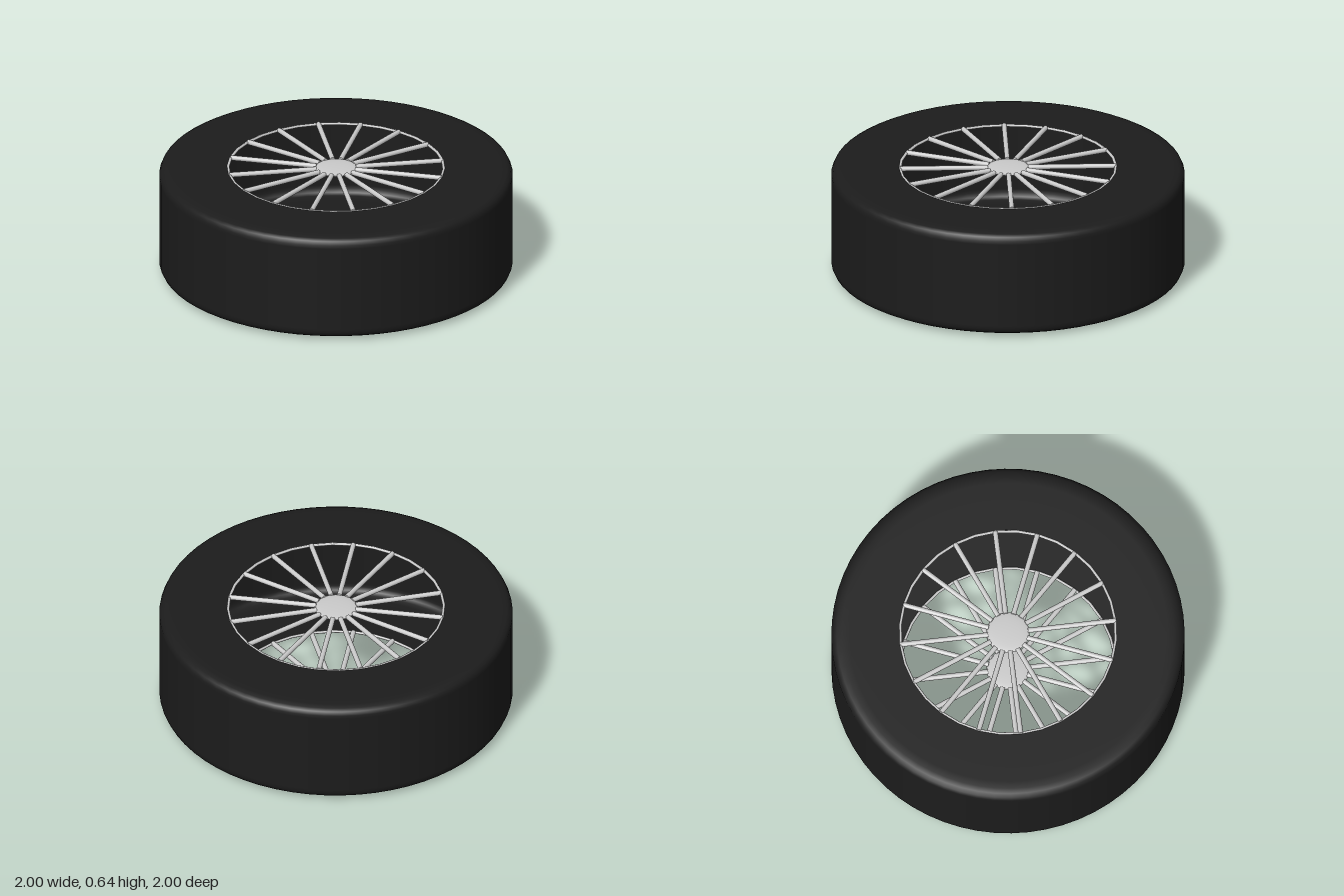
import * as THREE from 'three';

const HEIGHT = 0.64;
const SPOKES = 16;
const SPOKE_RADIUS = 0.0145;

export function createModel() {
  const wheel = new THREE.Group();
  wheel.name = 'wheel';
  const rubber = new THREE.MeshStandardMaterial({ color: 0x1c1c1c, side: THREE.DoubleSide });
  const metal = new THREE.MeshStandardMaterial({ color: 0xcccccc });

  const add = (parent, name, geometry, material) => {
    const mesh = new THREE.Mesh(geometry, material);
    mesh.name = name;
    parent.add(mesh);
    return mesh;
  };

  // Hollow tyre shell, open towards the hub: half a profile, mirrored about mid-height
  const half = [[0.615, 0.31], [0.75, 0.31], [0.9, 0.31], [0.94, 0.308], [0.97, 0.303], [0.99, 0.292], [1, 0.27], [1, 0.25]];
  const profile = [...half.map(([r, y]) => [r, -y]), ...half.slice().reverse()]
    .map(([r, y]) => new THREE.Vector2(r, y));
  add(wheel, 'tyre', new THREE.LatheGeometry(profile, 64), rubber).position.y = HEIGHT / 2;

  // One spoked face on each side of the tyre
  const inner = 0.113, outer = 0.612;
  const spokeGeometry = new THREE.CylinderGeometry(SPOKE_RADIUS, SPOKE_RADIUS, outer - inner, 12);
  spokeGeometry.rotateZ(Math.PI / 2).translate((inner + outer) / 2, 0, 0);
  const ringGeometry = new THREE.TorusGeometry(0.611, 0.008, 8, 32).rotateX(Math.PI / 2);
  const hubGeometry = new THREE.SphereGeometry(0.122, 32, 12).scale(1, 0.09, 1);

  for (const [side, y] of [['upper', HEIGHT - SPOKE_RADIUS], ['lower', SPOKE_RADIUS]]) {
    const face = new THREE.Group();
    face.name = side + 'Spokes';
    face.position.y = y;
    add(face, 'rimRing', ringGeometry, metal);
    add(face, 'hub', hubGeometry, metal);
    for (let i = 0; i < SPOKES; i++) {
      add(face, 'spoke', spokeGeometry, metal).rotation.y = (i / SPOKES) * Math.PI * 2;
    }
    wheel.add(face);
  }
  return wheel;
}
